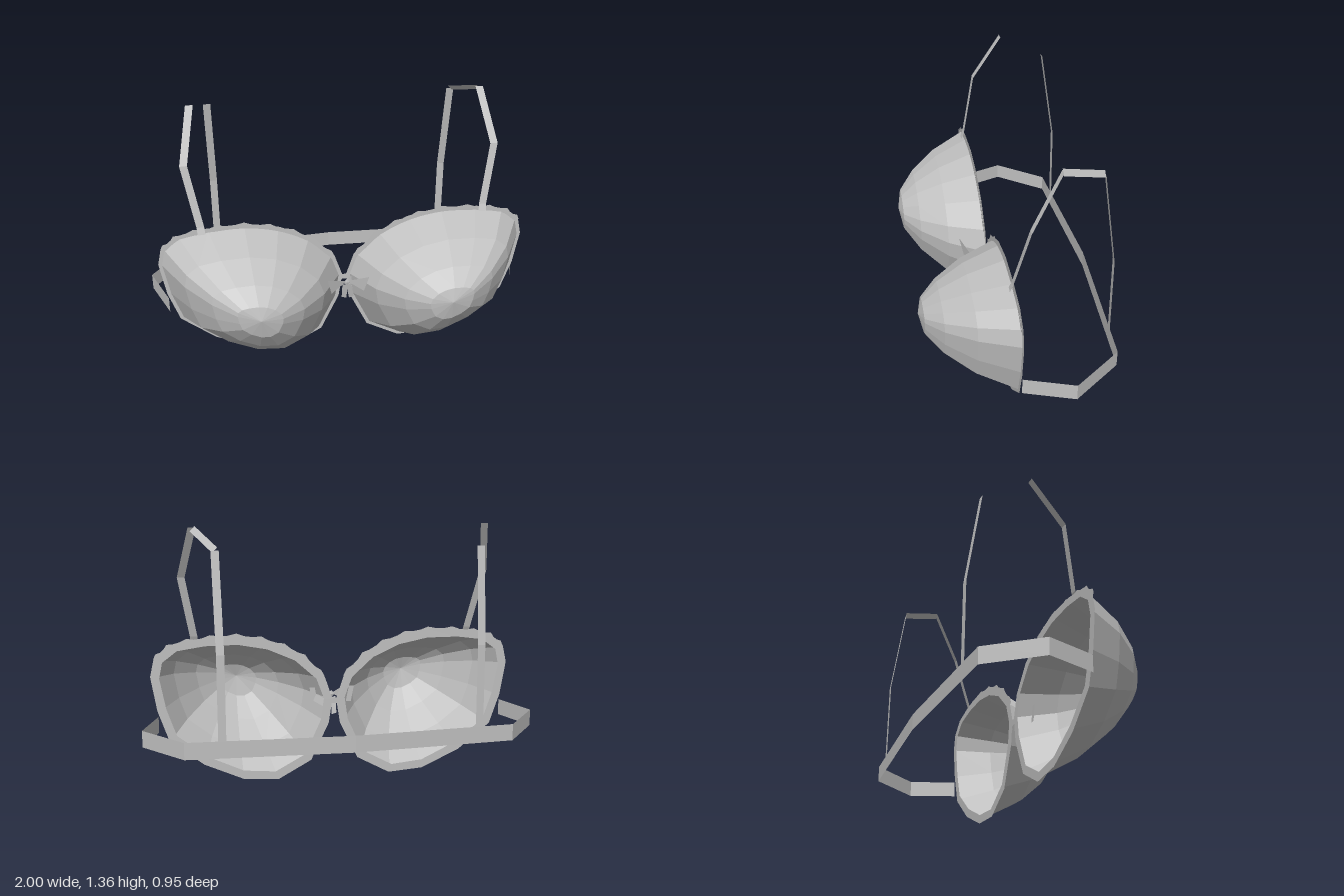
import * as THREE from 'three';

const V = (x, y, z) => new THREE.Vector3(x, y, z);

export function createModel() {
  const model = new THREE.Group();
  const fabric = new THREE.MeshStandardMaterial({ color: 0xc0c0c0, side: THREE.DoubleSide, flatShading: true });
  fabric.name = 'grey fabric';

  function addMesh(name, positions, parent) {
    const g = new THREE.BufferGeometry();
    g.setAttribute('position', new THREE.Float32BufferAttribute(positions, 3));
    g.computeVertexNormals();
    const mesh = new THREE.Mesh(g, fabric);
    mesh.name = name;
    parent.add(mesh);
  }

  // Faceted sheet spanning successive rows of points
  function sheet(name, rows, closed, parent) {
    const pos = [];
    for (let r = 0; r < rows.length - 1; r++) {
      const a = rows[r], b = rows[r + 1], n = a.length;
      for (let i = 0; i < (closed ? n : n - 1); i++) {
        const j = (i + 1) % n;
        for (const p of [a[i], b[i], b[j], a[i], b[j], a[j]]) pos.push(p.x, p.y, p.z);
      }
    }
    addMesh(name, pos, parent);
  }

  // Ribbon along a path with a constant half-width vector
  const ribbon = (name, path, half, parent) =>
    sheet(name, [path.map(p => p.clone().sub(half)), path.map(p => p.clone().add(half))], false, parent);

  // Cup outline, counted clockwise from the outer side
  const outline = [
    [0.95, 0.59], [0.92, 0.41], [0.865, 0.25], [0.69, 0.11], [0.485, 0.018], [0.30, 0.005],
    [0.125, 0.10], [0.03, 0.30], [0.01, 0.43], [0.05, 0.55], [0.17, 0.67], [0.33, 0.75],
    [0.51, 0.785], [0.70, 0.775], [0.85, 0.745], [0.93, 0.68],
  ];
  const cx = 0.475, cy = 0.48;
  // Outline drawn in by a fixed inset, then scaled about the cup's centre
  const ring = (inset, k, z) => outline.map(([x, y]) => {
    const s = k * (1 - inset / Math.hypot(x - cx, y - cy));
    return V(cx + (x - cx) * s, cy + (y - cy) * s, z);
  });
  const domeProfile = [[1, 0.055], [0.77, 0.237], [0.5, 0.372], [0.245, 0.453], [0.001, 0.475]];

  for (const side of [1, -1]) {
    const half = new THREE.Group();
    half.name = side > 0 ? 'leftHalf' : 'rightHalf';
    half.scale.x = side;
    model.add(half);

    // Domed cup and its flat edging
    sheet('cup', domeProfile.map(([k, z]) => ring(0.02, k, z)), true, half);
    sheet('cupEdging', [ring(0, 1, 0.052), ring(0.046, 1, 0.052)], true, half);

    // Wavy lace along the upper edge
    const curve = new THREE.CatmullRomCurve3(outline.slice(9).map(([x, y]) => V(x, y, 0.06)));
    const inner = [], outer = [];
    for (let i = 0; i <= 26; i++) {
      const p = curve.getPoint(i / 26), t = curve.getTangent(i / 26);
      const n = V(-t.y, t.x, 0);
      inner.push(p.clone().addScaledVector(n, -0.022));
      outer.push(p.clone().addScaledVector(n, i % 3 === 1 ? 0.012 : 0.001));
    }
    sheet('lace', [inner, outer], false, half);

    // Shoulder strap
    const w = V(0.019, 0, 0.001);
    ribbon('frontStrap', [V(0.722, 0.755, 0.076), V(0.725, 0.79, 0.062), V(0.783, 1.1, -0.005), V(0.73, 1.355, -0.15)], w, half);
    ribbon('backStrap', [V(0.64, 1.265, -0.365), V(0.632, 0.79, -0.436), V(0.632, 0.31, -0.44)], w, half);
    if (side > 0)
      ribbon('shoulderStrap', [V(0.728, 1.35, -0.15), V(0.64, 1.268, -0.365)], V(0.012, -0.012, 0), half);

    // Band round the side to the middle of the back
    ribbon('band', [V(0.915, 0.339, 0.05), V(1, 0.339, -0.19), V(0.81, 0.339, -0.432), V(0, 0.339, -0.475)], V(0, 0.042, 0), half);

    // Bow loop and tail
    addMesh('bowLoop', [0, 0.44, 0.135, 0.085, 0.39, 0.165, 0.108, 0.485, 0.185], half);
    ribbon('bowTail', [V(0.01, 0.42, 0.135), V(side > 0 ? 0.027 : 0.012, 0.33, 0.12)], V(0.013, 0.004, 0), half);
    // Back of the loop, showing inside the cup
    ribbon('bowLoopBack', [V(0.107, 0.48, 0.12), V(0.09, 0.395, 0.12)], V(0.014, 0, 0), half);
  }

  // Loose end behind the bow, link between the cups and the bow's knot
  ribbon('bowEnd', [V(0.03, 0.395, 0.06), V(0.1, 0.435, 0.08)], V(-0.008, 0.018, 0), model);
  ribbon('centreLink', [V(-0.03, 0.42, 0.056), V(0.03, 0.42, 0.056)], V(0, 0.015, 0), model);
  const knot = new THREE.Mesh(new THREE.OctahedronGeometry(0.02), fabric);
  knot.name = 'bowKnot';
  knot.scale.z = 0.2;
  knot.position.set(0, 0.435, 0.138);
  model.add(knot);

  return model;
}
